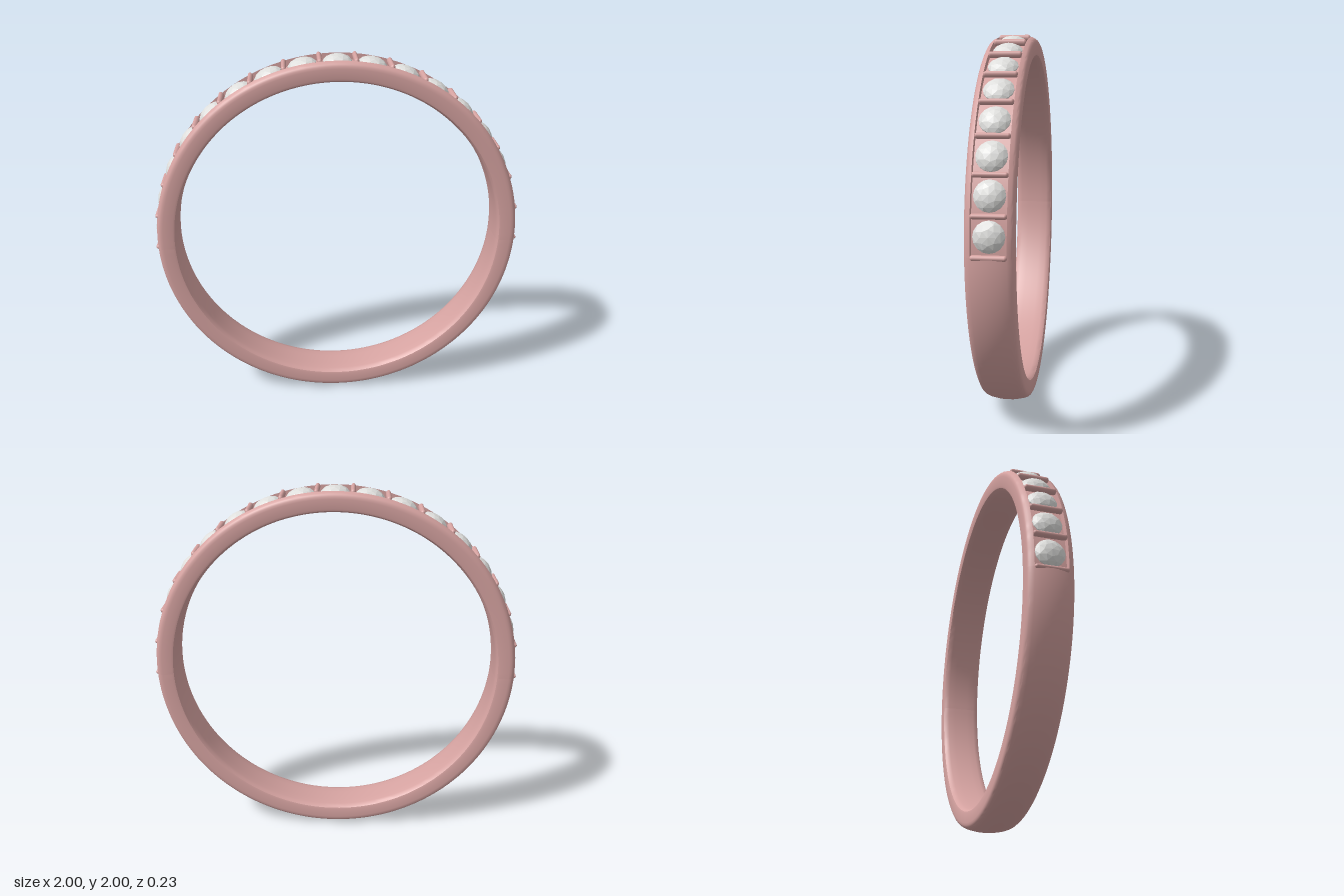
import * as THREE from 'three';
import { toCreasedNormals } from 'three/addons/utils/BufferGeometryUtils.js';
import { ConvexGeometry } from 'three/addons/geometries/ConvexGeometry.js';

const STONES = 17;
const STEP = THREE.MathUtils.degToRad(10.8);
const HALF = STEP * STONES / 2; // half of the set arc, measured from the top
const FLOOR = 0.95;             // radius of the channel floor
const CHANNEL = 0.083;          // half width of the channel

// Cross-section points are (radius, width position)
const outerArc = [[0.985, 0.083], [0.991, 0.055], [0.995, 0.028], [0.996, 0]];
const rim = [[0.978, 0.1], [0.972, 0.107], [0.962, 0.112], [0.95, 0.113]];
const inner = [[0.9, 0.113], [0.89, 0.11], [0.882, 0.1], [0.878, 0.08], [0.876, 0.04], [0.876, 0]];

const flip = (pts) => pts.map(([r, w]) => [r, -w]);
const toVectors = (pts) => pts.map(([r, w]) => new THREE.Vector2(r, w));

// Closed loop: up the outside, down the inside
function section(outside) {
  const side = [...rim, ...inner];
  const lower = flip(side);
  const loop = [
    ...lower.slice(0, rim.length).reverse(),
    ...outside,
    ...side,
    ...lower.slice(rim.length, -1).reverse(),
    lower[rim.length - 1],
  ];
  return toVectors(loop);
}

// Sweep a section round the ring's z axis; angle 0 is the bottom
function sweep(points, segments, start, length) {
  const g = new THREE.LatheGeometry(points, segments, start, length);
  g.rotateX(Math.PI / 2);
  return toCreasedNormals(g, 0.6);
}

// Rose-cut stone: staggered rings of facets rising along +y
function stoneGeometry() {
  const pts = [new THREE.Vector3(0, 0.028, 0), new THREE.Vector3(0, -0.03, 0)];
  const rings = [[8, 0.037, 0.022, 0], [8, 0.06, 0.011, 0.5], [16, 0.074, -0.004, 0], [16, 0.074, -0.01, 0]];
  for (const [n, r, y, shift] of rings) {
    for (let i = 0; i < n; i++) {
      const a = (i + shift) / n * Math.PI * 2;
      pts.push(new THREE.Vector3(Math.sin(a) * r, y, Math.cos(a) * r));
    }
  }
  return new ConvexGeometry(pts);
}

export function createModel() {
  const ring = new THREE.Group();
  ring.name = 'ring';
  ring.position.y = 1;

  const metal = new THREE.MeshStandardMaterial({ color: 0xd6a3a1 });
  metal.name = 'rose metal';
  const crystal = new THREE.MeshStandardMaterial({ color: 0xdededc });
  crystal.name = 'clear stone';

  const add = (geometry, material, name) => {
    const mesh = new THREE.Mesh(geometry, material);
    mesh.name = name;
    ring.add(mesh);
    return mesh;
  };
  // Place a part at an angle clockwise from the top, at a given radius
  const place = (mesh, angle, radius) => {
    mesh.position.set(Math.sin(angle) * radius, Math.cos(angle) * radius, 0);
    mesh.rotation.z = -angle;
  };

  // Plain lower band
  const domed = [...flip(outerArc), ...outerArc.slice(0, -1).reverse()];
  add(sweep(section(domed), 90, HALF - Math.PI, 2 * (Math.PI - HALF)), metal, 'plainBand');

  // Upper band with the sunken channel between two rims
  const channel = [[0.985, -CHANNEL], [FLOOR, -CHANNEL], [FLOOR, CHANNEL], [0.985, CHANNEL]];
  add(sweep(section(channel), 96, Math.PI - HALF, 2 * HALF), metal, 'channelBand');

  // End walls of the channel
  const wallShape = new THREE.Shape(toVectors([[FLOOR, -CHANNEL], ...domed, [FLOOR, CHANNEL]]));
  const wallGeometry = new THREE.ShapeGeometry(wallShape);
  wallGeometry.rotateX(Math.PI / 2);
  for (const s of [-1, 1]) {
    const wall = add(wallGeometry, metal, 'channelEnd');
    wall.rotation.z = Math.PI / 2 - s * HALF;
    if (s < 0) continue;
    // the right-hand wall faces the other way
    wall.geometry = wallGeometry.clone();
    const index = wall.geometry.index.array;
    for (let i = 0; i < index.length; i += 3) [index[i], index[i + 1]] = [index[i + 1], index[i]];
    wall.geometry.computeVertexNormals();
  }

  // Stones along the upper half
  const stone = stoneGeometry();
  for (let i = 0; i < STONES; i++) {
    place(add(stone, crystal, 'stone'), (i - (STONES - 1) / 2) * STEP, 0.972);
  }

  // Rounded bars between the stones and at both ends
  const bar = new THREE.CapsuleGeometry(0.013, 0.142, 6, 14);
  bar.rotateX(Math.PI / 2);
  bar.scale(1, 1.3, 1);
  for (let i = 0; i <= STONES; i++) {
    place(add(bar, metal, 'bar'), (i - STONES / 2) * STEP, 0.981);
  }

  return ring;
}
